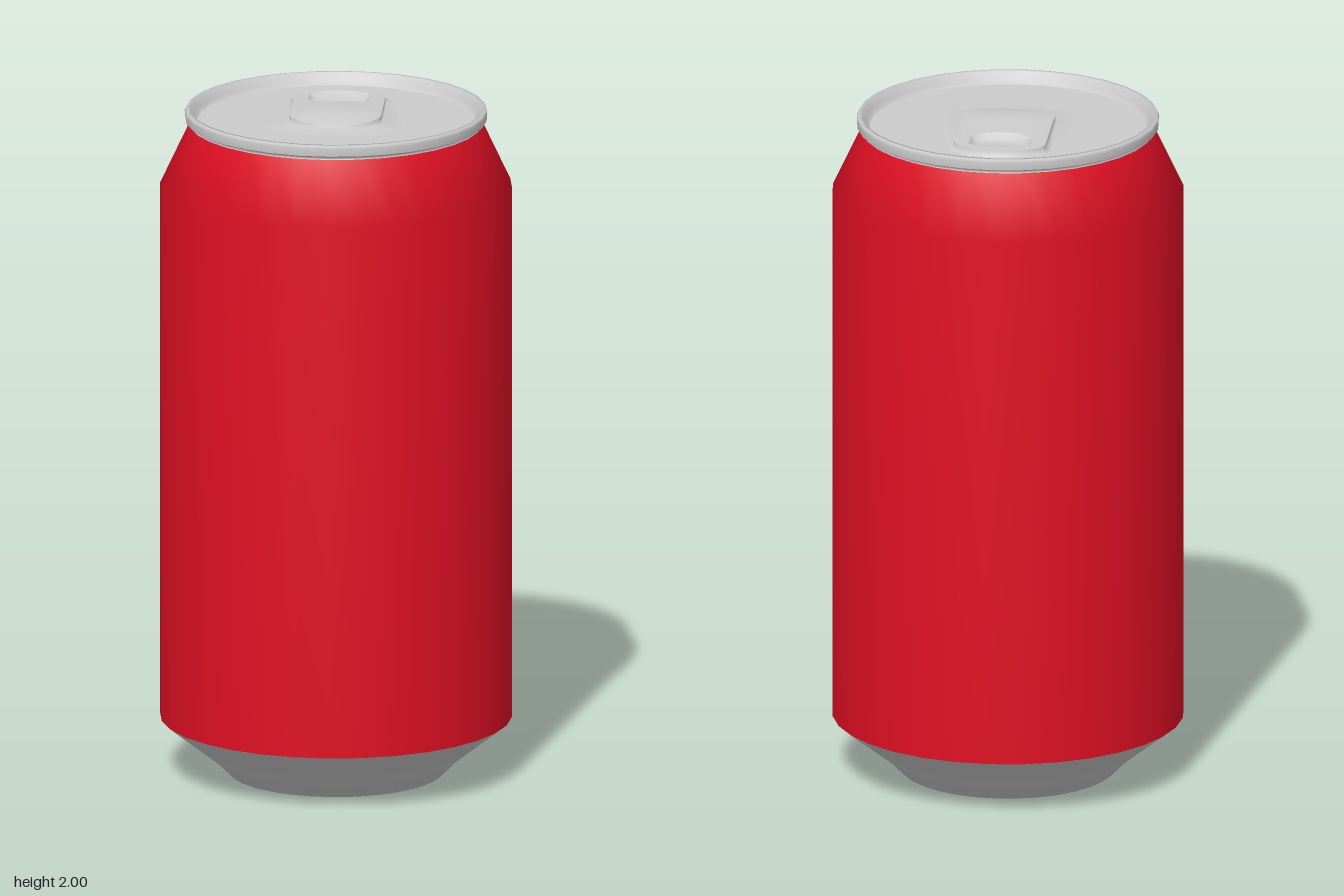
import * as THREE from 'three';

const SIDES = 32, LOOP = 24, DECK = 1.965;
const grey = new THREE.MeshStandardMaterial({ color: 0xcccccc });
const red = new THREE.MeshStandardMaterial({ color: 0xe01024 });

function lathe(name, profile, material) {
  const points = profile.map(([r, y]) => new THREE.Vector2(r, y));
  const mesh = new THREE.Mesh(new THREE.LatheGeometry(points, SIDES), material);
  mesh.name = name;
  return mesh;
}

// Rounded oblong loop: centre z, half width, straight half length, cap depth
function oblong(cz, hx, straight, cap, height) {
  return Array.from({ length: LOOP }, (_, i) => {
    const a = ((i + 0.5) / LOOP) * Math.PI * 2;
    const x = hx * Math.cos(a);
    const z = cz + Math.sign(Math.sin(a)) * straight + cap * Math.sin(a);
    return new THREE.Vector3(x, height(x, z), z);
  });
}

// Skin between successive loops, ordered from outside to inside
function skin(name, loops, close = false) {
  const positions = loops.flat().flatMap((p) => [p.x, p.y, p.z]);
  const index = [];
  for (let l = 0; l < loops.length - 1; l++) {
    for (let i = 0; i < LOOP; i++) {
      const j = (i + 1) % LOOP, a = l * LOOP, b = a + LOOP;
      index.push(a + i, b + i, a + j, a + j, b + i, b + j);
    }
  }
  if (close) {
    const b = (loops.length - 1) * LOOP;
    for (let i = 1; i < LOOP - 1; i++) index.push(b, b + i + 1, b + i);
  }
  const geometry = new THREE.BufferGeometry();
  geometry.setAttribute('position', new THREE.Float32BufferAttribute(positions, 3));
  geometry.setIndex(index);
  geometry.computeVertexNormals();
  const mesh = new THREE.Mesh(geometry, grey);
  mesh.name = name;
  return mesh;
}

// Pull tab: highest near its middle, falling towards the front end
function tabHeight(x, z) {
  const along = z > 0 ? 1 - (z / 0.15) ** 2 : 1 - 0.45 * Math.min(1, -z / 0.15);
  const across = 1 - 0.35 * (x / 0.135) ** 2;
  return DECK + 0.004 + 0.03 * along * across;
}

function createTab() {
  const tab = new THREE.Group();
  tab.name = 'pullTab';

  const outline = oblong(-0.09, 0.135, 0.115, 0.1, tabHeight);
  const hole = oblong(-0.2, 0.092, 0.025, 0.045, tabHeight);
  const top = [0, 0.25, 0.5, 0.75, 1].map((t) =>
    outline.map((p, i) => {
      const q = p.clone().lerp(hole[i], t);
      q.y = tabHeight(q.x, q.z);
      return q;
    }));
  tab.add(skin('tabTop', top));

  // Soft raised deck that meets the foot of the tab, spreading at the front
  const skirt = outline.map((p) => {
    const front = THREE.MathUtils.smoothstep(p.z, -0.1, 0.1);
    return new THREE.Vector3(p.x * (1.12 + 0.5 * front), DECK + 0.0005, -0.09 + (p.z + 0.09) * (1.06 + 0.24 * front));
  });
  const foot = outline.map((p) => new THREE.Vector3(p.x * 1.02, DECK + 0.004, p.z + (p.z + 0.09) * 0.02));
  tab.add(skin('tabSkirt', [skirt, foot, outline]));

  // Finger hole sunk down to the deck
  const floor = oblong(-0.195, 0.075, 0.015, 0.03, () => DECK + 0.002);
  tab.add(skin('fingerHole', [hole, floor], true));
  return tab;
}

export function createModel() {
  const can = new THREE.Group();
  can.name = 'drinkCan';

  // Tapered foot and recessed underside
  can.add(lathe('underside', [[0, 0.055], [0.235, 0.05], [0.27, 0.025], [0.29, 0]], grey));
  can.add(lathe('base', [[0.29, 0], [0.315, 0.002], [0.36, 0.048], [0.515, 0.17]], grey));

  // Painted wall with sloping shoulder
  can.add(lathe('body', [[0.515, 0.17], [0.515, 1.77], [0.428, 1.955]], red));

  // Rolled rim and sunken lid
  can.add(lathe('neck', [[0.428, 1.955], [0.424, 1.962], [0.441, 1.968]], grey));
  can.add(lathe('rim', [[0.441, 1.968], [0.443, 1.99], [0.439, 2], [0.426, 2], [0.418, 1.975], [0.405, DECK]], grey));
  can.add(lathe('lid', [[0.405, DECK], [0, DECK]], grey));

  can.add(createTab());
  return can;
}
